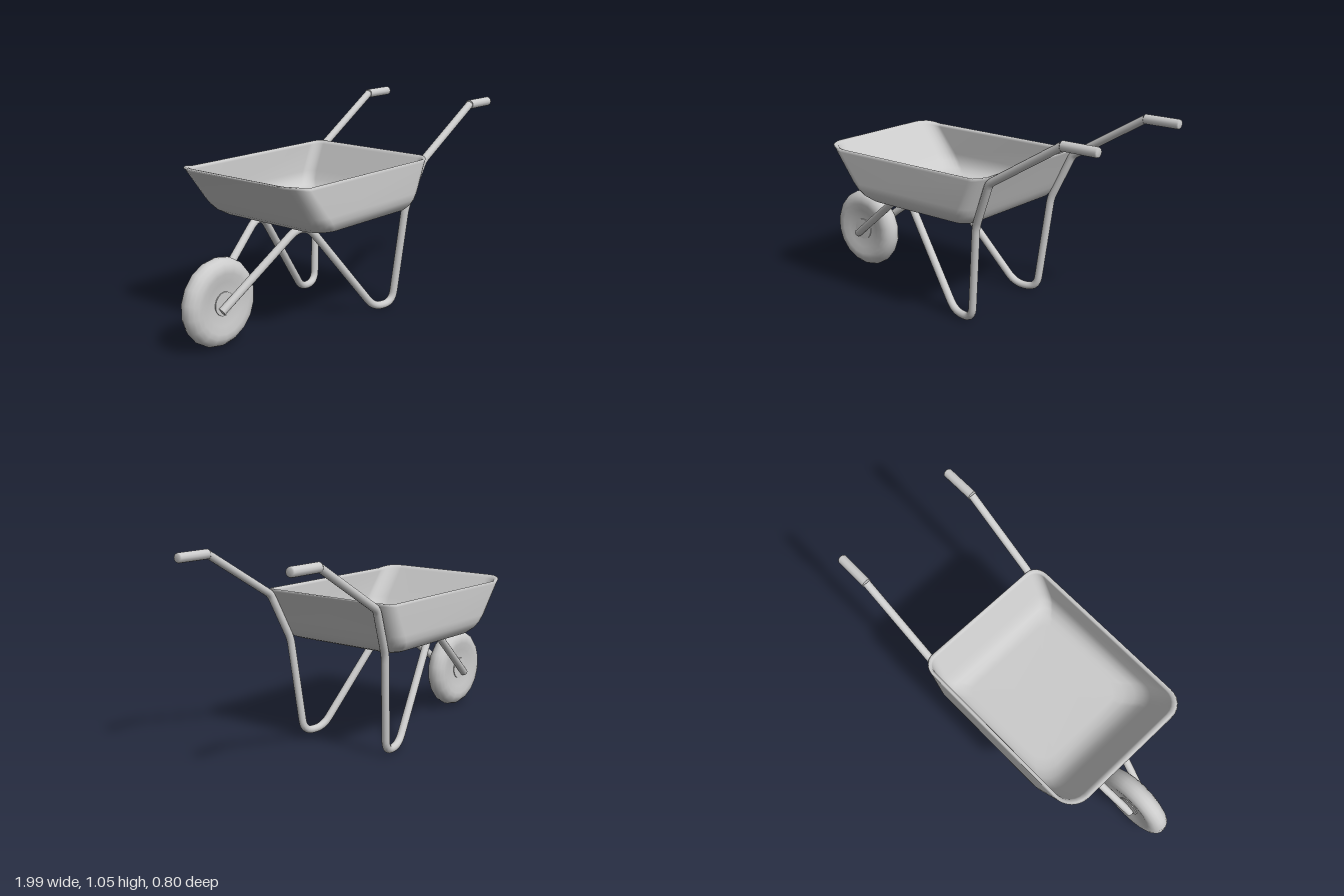
import * as THREE from 'three';

const grey = new THREE.MeshStandardMaterial({ color: 0xcccccc });
grey.name = 'light grey metal';

function part(name, geometry, parent) {
  const mesh = new THREE.Mesh(geometry, grey);
  mesh.name = name;
  parent.add(mesh);
  return mesh;
}

// Rounded rectangle in plan, wider corner radius at the nose (-x)
function planRing(x0, x1, half, inset) {
  const points = [], steps = 6;
  const corners = [[x1, 1, 0.075], [x0, 1, 0.11], [x0, -1, 0.11], [x1, -1, 0.075]];
  corners.forEach(([x, sz, radius], q) => {
    const r = radius - inset;
    const cx = x === x1 ? x1 - r : x0 + r, cz = sz * (half - r);
    for (let i = 0; i <= steps; i++) {
      const a = (q + i / steps) * Math.PI / 2;
      points.push([cx + r * Math.cos(a), cz + r * Math.sin(a)]);
    }
  });
  return points;
}

// Tray skin: outside from the bottom up, over the rim, then down the inside
function trayGeometry() {
  const levels = [ // y, x0, x1, half width, corner inset
    [0.540, -0.36, 0.20, 0.295, 0.02], [0.541, -0.40, 0.24, 0.33, 0.01],
    [0.552, -0.445, 0.265, 0.358, 0], [0.577, -0.485, 0.285, 0.383, 0],
    [0.605, -0.512, 0.299, 0.395, 0], [0.64, -0.541, 0.314, 0.4, 0],
    [0.79, -0.668, 0.38, 0.4, 0], [0.80, -0.68, 0.386, 0.4, 0],
    [0.806, -0.672, 0.382, 0.394, 0.005], [0.802, -0.655, 0.37, 0.382, 0.015],
    [0.79, -0.645, 0.364, 0.379, 0.02], [0.65, -0.527, 0.303, 0.377, 0.02],
    [0.61, -0.492, 0.283, 0.367, 0.02], [0.58, -0.455, 0.262, 0.347, 0.02],
    [0.562, -0.41, 0.23, 0.315, 0.02], [0.558, -0.36, 0.19, 0.28, 0.03],
  ];
  const pos = [], index = [];
  let n = 0;
  for (const [y, x0, x1, half, inset] of levels) {
    const ring = planRing(x0, x1, half, inset);
    n = ring.length;
    for (const [x, z] of ring) {
      // raised lip at nose and back
      const lift = y < 0.78 ? 0
        : 0.015 * THREE.MathUtils.smoothstep(-x, 0.55, 0.66) + 0.007 * THREE.MathUtils.smoothstep(x, 0.32, 0.38);
      pos.push(x, y + lift, z);
    }
  }
  for (let i = 0; i < levels.length - 1; i++) {
    for (let j = 0; j < n; j++) {
      const k = (j + 1) % n;
      const a = i * n + j, b = i * n + k;
      index.push(a, a + n, b, b, a + n, b + n);
    }
  }
  // underside and floor
  const top = (levels.length - 1) * n, under = levels.length * n;
  pos.push(-0.08, 0.54, 0, -0.08, 0.558, 0);
  for (let j = 0; j < n; j++) {
    const k = (j + 1) % n;
    index.push(under, j, k, under + 1, top + k, top + j);
  }
  const g = new THREE.BufferGeometry();
  g.setAttribute('position', new THREE.Float32BufferAttribute(pos, 3));
  g.setIndex(index);
  g.computeVertexNormals();
  return g;
}

// Straight runs joined by bends; each corner is [x, y, z, bend length]
function bentPath(corners) {
  const pts = corners.map(([x, y, z]) => new THREE.Vector3(x, y, z));
  const path = new THREE.CurvePath();
  let from = pts[0];
  for (let i = 1; i < pts.length - 1; i++) {
    const d = corners[i][3];
    const into = pts[i].clone().add(pts[i - 1].clone().sub(pts[i]).setLength(d));
    const out = pts[i].clone().add(pts[i + 1].clone().sub(pts[i]).setLength(d));
    path.add(new THREE.LineCurve3(from, into));
    path.add(new THREE.QuadraticBezierCurve3(into, pts[i], out));
    from = out;
  }
  path.add(new THREE.LineCurve3(from, pts[pts.length - 1]));
  return path;
}

export function createModel() {
  const model = new THREE.Group();
  model.name = 'wheelbarrow';

  part('tray', trayGeometry(), model);

  // Wheel: rounded tyre with slightly dished sides
  const side = [[0, 0.04], [0.06, 0.04], [0.11, 0.047], [0.15, 0.054], [0.175, 0.053],
    [0.197, 0.044], [0.212, 0.028], [0.22, 0.01]];
  const profile = [...side.map(([r, h]) => new THREE.Vector2(r, -h)),
    ...side.slice().reverse().map(([r, h]) => new THREE.Vector2(r, h))];
  const wheel = new THREE.Group();
  wheel.name = 'wheel';
  wheel.position.set(-0.78, 0.23, 0);
  model.add(wheel);
  part('tyre', new THREE.LatheGeometry(profile, 18).rotateX(Math.PI / 2), wheel);
  part('hub', new THREE.CylinderGeometry(0.06, 0.06, 0.09, 18).rotateX(Math.PI / 2), wheel);

  // One bent tube per side: wheel fork, leg and handle bar
  for (const s of [1, -1]) {
    const label = s > 0 ? 'front' : 'back';
    const path = bentPath([
      [-0.81, 0.20, s * 0.055], [-0.335, 0.566, s * 0.15, 0.11],
      [0.099, 0.027, s * 0.256, 0.062], [0.23, 0.027, s * 0.276, 0.062],
      [0.285, 0.54, s * 0.312, 0.03], [0.393, 0.785, s * 0.345, 0.02],
      [0.81, 1.035, s * 0.353],
    ]);
    part(label + 'FrameTube', new THREE.TubeGeometry(path, 150, 0.021, 12), model);

    const cap = part(label + 'ForkEnd', new THREE.CircleGeometry(0.021, 12), model);
    cap.position.copy(path.getPoint(0));
    cap.lookAt(cap.position.clone().sub(path.getTangent(0)));

    const gripProfile = [[0, 0], [0.025, 0], [0.025, 0.002], [0.025, 0.183], [0.021, 0.191], [0, 0.191]]
      .map(([r, h]) => new THREE.Vector2(r, h));
    const grip = part(label + 'Grip', new THREE.LatheGeometry(gripProfile, 12), model);
    grip.rotation.z = -Math.PI / 2;
    grip.position.set(0.807, 1.034, s * 0.353);
  }
  return model;
}
